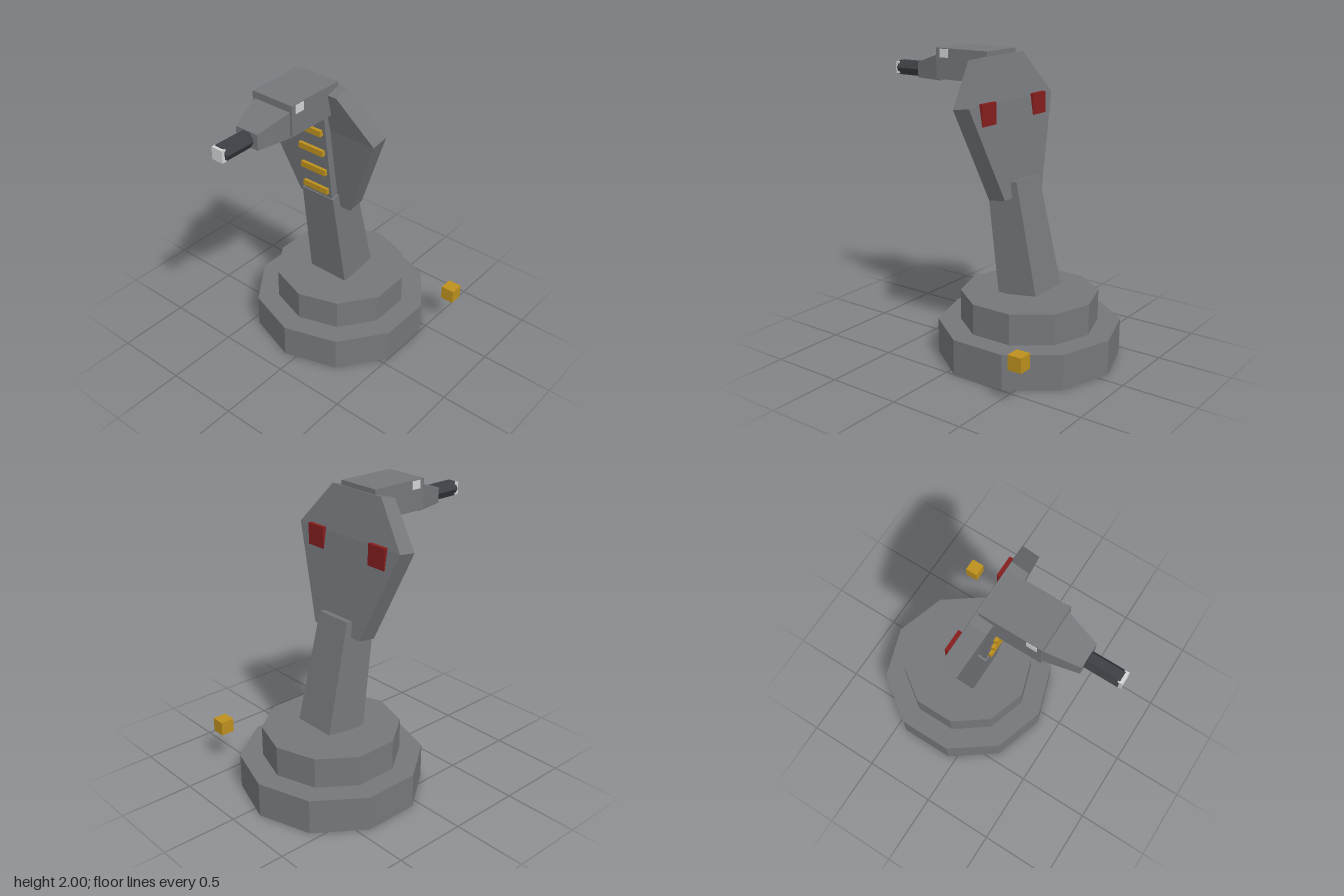
import * as THREE from 'three';

const mat = (name, color) => {
  const m = new THREE.MeshStandardMaterial({ color });
  m.name = name;
  return m;
};

// Loft of rectangular sections: [halfWidth, [y, z] front edge, [y, z] back edge], listed upwards
function loft(sections) {
  const rings = sections.map(([w, f, b]) => [[-w, ...f], [w, ...f], [w, ...b], [-w, ...b]]);
  const pos = [];
  const quad = (a, b, c, d) => [a, b, c, a, c, d].forEach((p) => pos.push(...p));
  for (let s = 0; s < rings.length - 1; s++) {
    for (let i = 0; i < 4; i++) {
      const j = (i + 1) % 4;
      quad(rings[s][i], rings[s][j], rings[s + 1][j], rings[s + 1][i]);
    }
  }
  quad(...[...rings[0]].reverse());
  quad(...rings[rings.length - 1]);
  const g = new THREE.BufferGeometry();
  g.setAttribute('position', new THREE.Float32BufferAttribute(pos, 3));
  g.computeVertexNormals();
  return g;
}

// Faceted cylinder with flat normals
function prism(radius, height, sides) {
  const g = new THREE.CylinderGeometry(radius, radius, height, sides).toNonIndexed();
  g.computeVertexNormals();
  return g;
}

export function createModel() {
  const grey = mat('stone grey', 0x75777b);
  const dark = mat('gunmetal', 0x3c4044);
  const gold = mat('gold', 0xbd911f);
  const red = mat('dark red', 0x861e1e);
  const white = mat('pale grey', 0xd2d4d6);

  const model = new THREE.Group();
  model.name = 'cobraTurret';
  const body = new THREE.Group();
  body.name = 'turret';
  body.position.x = -0.08;
  model.add(body);

  const add = (name, geometry, material, x = 0, y = 0, z = 0, parent = body) => {
    const m = new THREE.Mesh(geometry, material);
    m.name = name;
    m.position.set(x, y, z);
    parent.add(m);
    return m;
  };
  const box = (w, h, d) => new THREE.BoxGeometry(w, h, d);

  // Stepped ten-sided base
  add('baseLower', prism(0.605, 0.235, 10), grey, 0, 0.1175, -0.243);
  add('baseUpper', prism(0.455, 0.205, 10), grey, 0, 0.3375, -0.243);

  // Leaning neck, bent hood and the belly strip on its front
  add('neck', loft([
    [0.15, [0.43, -0.10], [0.47, -0.39]],
    [0.128, [1.155, 0.008], [1.195, -0.22]],
  ]), grey);
  add('hood', loft([
    [0.21, [1.068, -0.068], [1.085, -0.19]],
    [0.453, [1.672, 0.024], [1.69, -0.097]],
    [0.217, [1.945, 0.088], [1.972, -0.027]],
  ]), grey);
  add('bellyStrip', loft([
    [0.116, [1.14, -0.002], [1.15, -0.12]],
    [0.12, [1.788, 0.085], [1.77, -0.01]],
  ]), grey);

  // Belly bars climb and move forward with the strip
  for (let i = 0; i < 4; i++) {
    add('bellyBar', box(0.195, 0.04, 0.05), gold, 0, 1.214 + i * 0.15, 0.007 + i * 0.021);
  }

  // Head, tapered snout, barrel and muzzle
  add('head', box(0.304, 0.2, 0.41), grey, 0, 1.9, 0.195);
  add('snout', loft([
    [0.137, [1.787, 0.38], [1.957, 0.395]],
    [0.083, [1.783, 0.615], [1.885, 0.615]],
  ]), grey);
  const barrel = add('barrel', prism(0.055, 0.27, 6), dark, 0, 1.831, 0.695);
  barrel.rotation.set(Math.PI / 2, Math.PI / 6, 0);
  add('muzzle', box(0.08, 0.08, 0.03), white, 0, 1.831, 0.835);
  add('chinSensor', prism(0.035, 0.012, 6), dark, 0, 1.785, 0.46);

  // Mirrored eyes and hood markings
  for (const side of [-1, 1]) {
    add('eye', box(0.008, 0.055, 0.068), white, side * 0.151, 1.967, 0.335);
    add('hoodMarking', box(0.142, 0.14, 0.026), red, side * 0.276, 1.635, -0.107);
  }

  // Small cube floating beside the base
  add('sideCube', box(0.095, 0.097, 0.095), gold, 0.603, 0.289, -0.632, model);

  return model;
}
